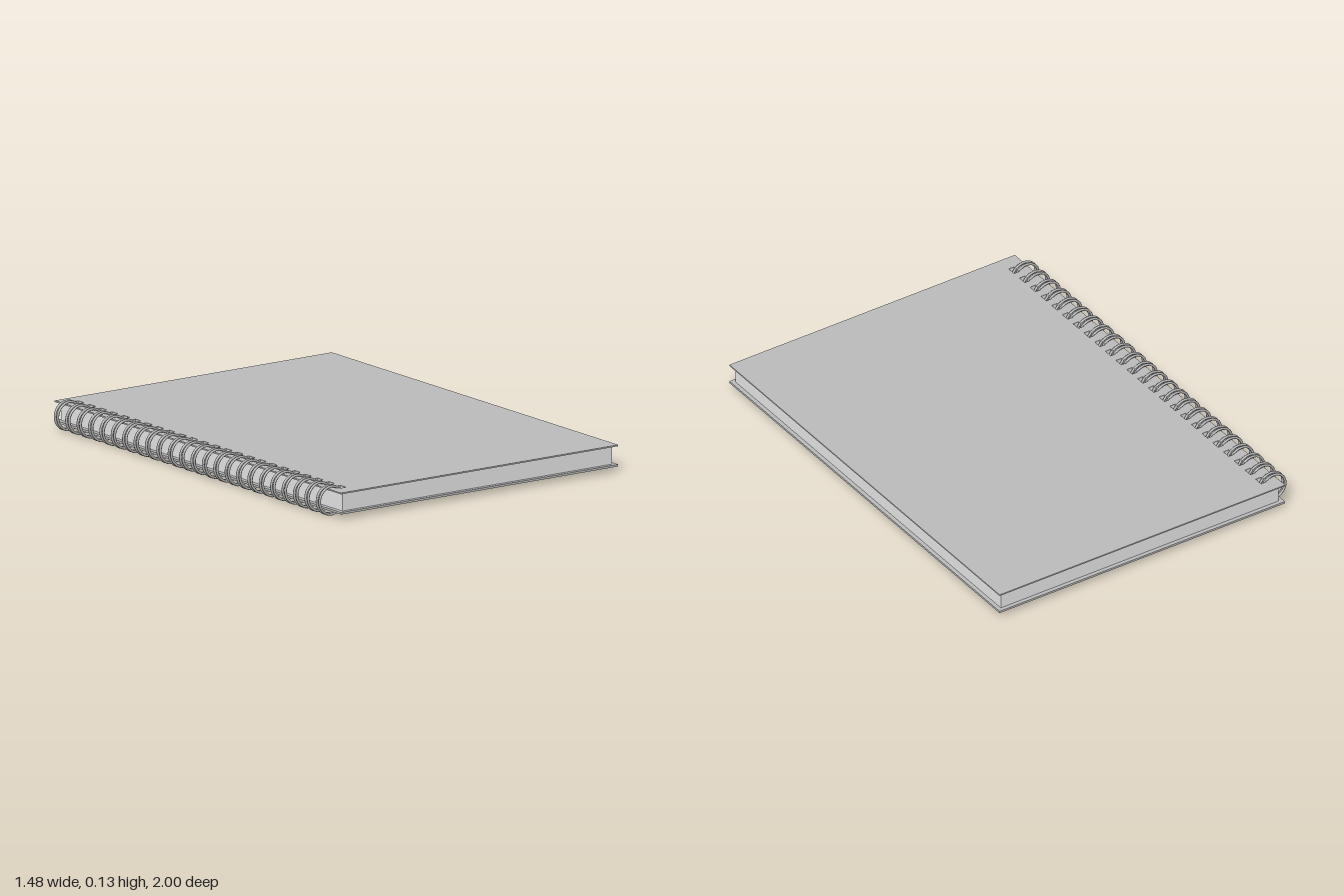
import * as THREE from 'three';

const RINGS = 24, PITCH = 0.0795, RING_X = -0.673, RING_Y = 0.065;
const ringZ = (i) => -0.918 + i * PITCH;

// Flat sheet with a column of punched slots, lying in the xz plane
function punchedSheet(name, x0, x1, halfZ, y0, y1, material) {
  const shape = new THREE.Shape();
  shape.moveTo(x0, -halfZ);
  shape.lineTo(x1, -halfZ);
  shape.lineTo(x1, halfZ);
  shape.lineTo(x0, halfZ);
  shape.closePath();
  for (let i = 0; i < RINGS; i++) {
    const z = -ringZ(i);
    const hole = new THREE.Path();
    hole.moveTo(-0.632, z - 0.02);
    hole.lineTo(-0.632, z + 0.02);
    hole.lineTo(-0.605, z + 0.02);
    hole.lineTo(-0.605, z - 0.02);
    hole.closePath();
    shape.holes.push(hole);
  }
  const geometry = new THREE.ExtrudeGeometry(shape, { depth: y1 - y0, bevelEnabled: false });
  geometry.rotateX(-Math.PI / 2);
  geometry.translate(0, y0, 0);
  const mesh = new THREE.Mesh(geometry, material);
  mesh.name = name;
  return mesh;
}

export function createModel() {
  const coverGrey = new THREE.MeshStandardMaterial({ color: 0xbbbbbb });
  coverGrey.name = 'cover grey';
  const paper = new THREE.MeshStandardMaterial({ color: 0xe6e6e6 });
  paper.name = 'paper';
  const wireGrey = new THREE.MeshStandardMaterial({ color: 0xb0b0b0 });
  wireGrey.name = 'wire grey';

  const notebook = new THREE.Group();
  notebook.name = 'notebook';

  // Covers overhang the page block on every side
  notebook.add(punchedSheet('backCover', -0.682, 0.738, 1, 0.021, 0.03, coverGrey));
  notebook.add(punchedSheet('pages', -0.662, 0.72, 0.982, 0.03, 0.107, paper));
  notebook.add(punchedSheet('frontCover', -0.682, 0.738, 1, 0.107, 0.113, coverGrey));

  // Twin-wire binding: a pair of rings through each slot
  const binding = new THREE.Group();
  binding.name = 'binding';
  const ring = new THREE.TorusGeometry(0.0595, 0.0055, 8, 32);
  for (let i = 0; i < RINGS; i++) {
    for (const side of [-1, 1]) {
      const wire = new THREE.Mesh(ring, wireGrey);
      wire.name = 'ringWire';
      wire.position.set(RING_X, RING_Y, ringZ(i) + side * 0.0095);
      binding.add(wire);
    }
  }
  notebook.add(binding);
  return notebook;
}
